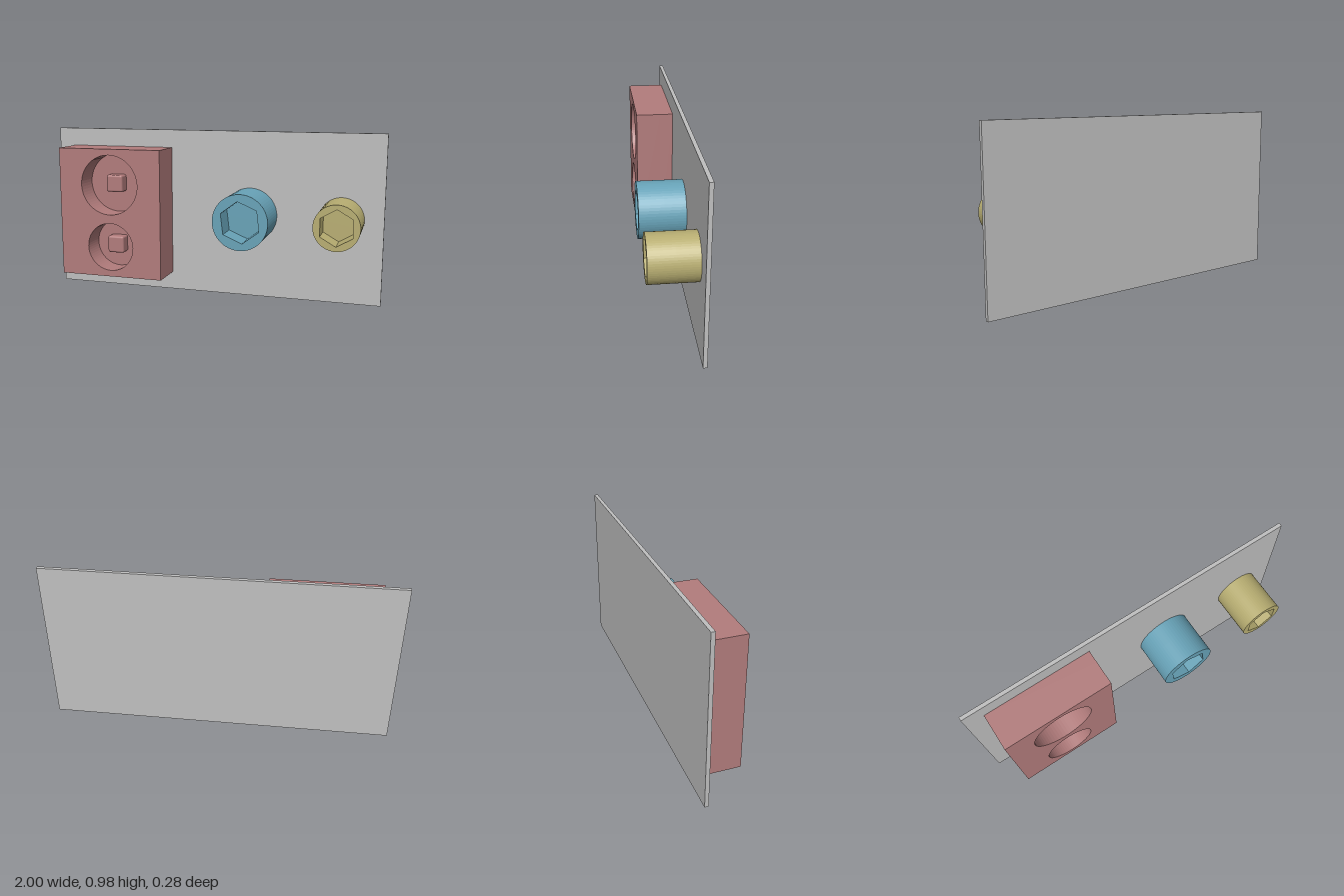
import * as THREE from 'three';
import { RoundedBoxGeometry } from 'three/addons/geometries/RoundedBoxGeometry.js';

const mat = (name, color) => {
  const m = new THREE.MeshStandardMaterial({ color });
  m.name = name;
  return m;
};

const PLATE_FRONT = -0.118;
const HOLE_DEPTH = 0.14;

const circle = (x, y, r, T = THREE.Shape) => new T().absarc(x, y, r, 0, Math.PI * 2, false);

function polygonHole(sides, r, startDeg) {
  const pts = [];
  for (let i = 0; i < sides; i++) {
    const a = THREE.MathUtils.degToRad(startDeg) + (i / sides) * Math.PI * 2;
    pts.push(new THREE.Vector2(r * Math.cos(a), r * Math.sin(a)));
  }
  return new THREE.Path(pts);
}

function rectangle(w, h) {
  return new THREE.Shape([
    new THREE.Vector2(-w / 2, -h / 2), new THREE.Vector2(w / 2, -h / 2),
    new THREE.Vector2(w / 2, h / 2), new THREE.Vector2(-w / 2, h / 2),
  ]);
}

// Solid outline on the plate, with blind pockets cut in from its front
function pocketedBody(name, makeOutline, holes, frontZ, material) {
  const group = new THREE.Group();
  group.name = name;
  const floorZ = frontZ - HOLE_DEPTH;
  const slab = (part, shape, z0, z1) => {
    const geo = new THREE.ExtrudeGeometry(shape, { depth: z1 - z0, bevelEnabled: false, curveSegments: 32 });
    const mesh = new THREE.Mesh(geo, material);
    mesh.name = part;
    mesh.position.z = z0;
    group.add(mesh);
  };
  slab(name + 'Base', makeOutline(), PLATE_FRONT, floorZ);
  const rim = makeOutline();
  rim.holes.push(...holes);
  slab(name + 'Rim', rim, floorZ, frontZ);
  return group;
}

export function createModel() {
  const grey = mat('plate grey', 0xbfbfbf);
  const red = mat('dusty red', 0xb27c7c);
  const blue = mat('soft blue', 0x68a3b8);
  const yellow = mat('sand yellow', 0xb8ae72);

  const model = new THREE.Group();
  model.name = 'socketPanel';

  // Backing plate
  const plate = new THREE.Mesh(new THREE.BoxGeometry(2, 0.983, 0.022), grey);
  plate.name = 'backPlate';
  plate.position.set(0, 0.4915, -0.129);
  model.add(plate);

  // Block with two round wells
  const wells = [{ y: 0.171, r: 0.178 }, { y: -0.203, r: 0.144 }];
  const blockFront = 0.097;
  const block = pocketedBody('wellBlock', () => rectangle(0.638, 0.769),
    wells.map((w) => circle(0, w.y, w.r, THREE.Path)), blockFront, red);
  block.position.set(-0.576, 0.4925, 0);
  model.add(block);

  // Square drive peg standing on the floor of each well
  const floor = blockFront - HOLE_DEPTH;
  const pegFront = 0.024, pegBack = floor - 0.02;
  wells.forEach((w, i) => {
    const peg = new THREE.Mesh(new RoundedBoxGeometry(0.102, 0.102, pegFront - pegBack, 3, 0.012), red);
    peg.name = i ? 'lowerPeg' : 'upperPeg';
    peg.position.set(0, w.y, (pegFront + pegBack) / 2);
    block.add(peg);
  });

  // Round sockets with hexagonal recesses
  const sockets = [
    { name: 'largeSocket', x: 0.23, r: 0.16, hex: 0.12, turn: 37, material: blue },
    { name: 'smallSocket', x: 0.763, r: 0.128, hex: 0.102, turn: 30, material: yellow },
  ];
  for (const s of sockets) {
    const socket = pocketedBody(s.name, () => circle(0, 0, s.r),
      [polygonHole(6, s.hex, s.turn)], 0.14, s.material);
    socket.position.set(s.x, 0.4915, 0);
    model.add(socket);
  }
  return model;
}
